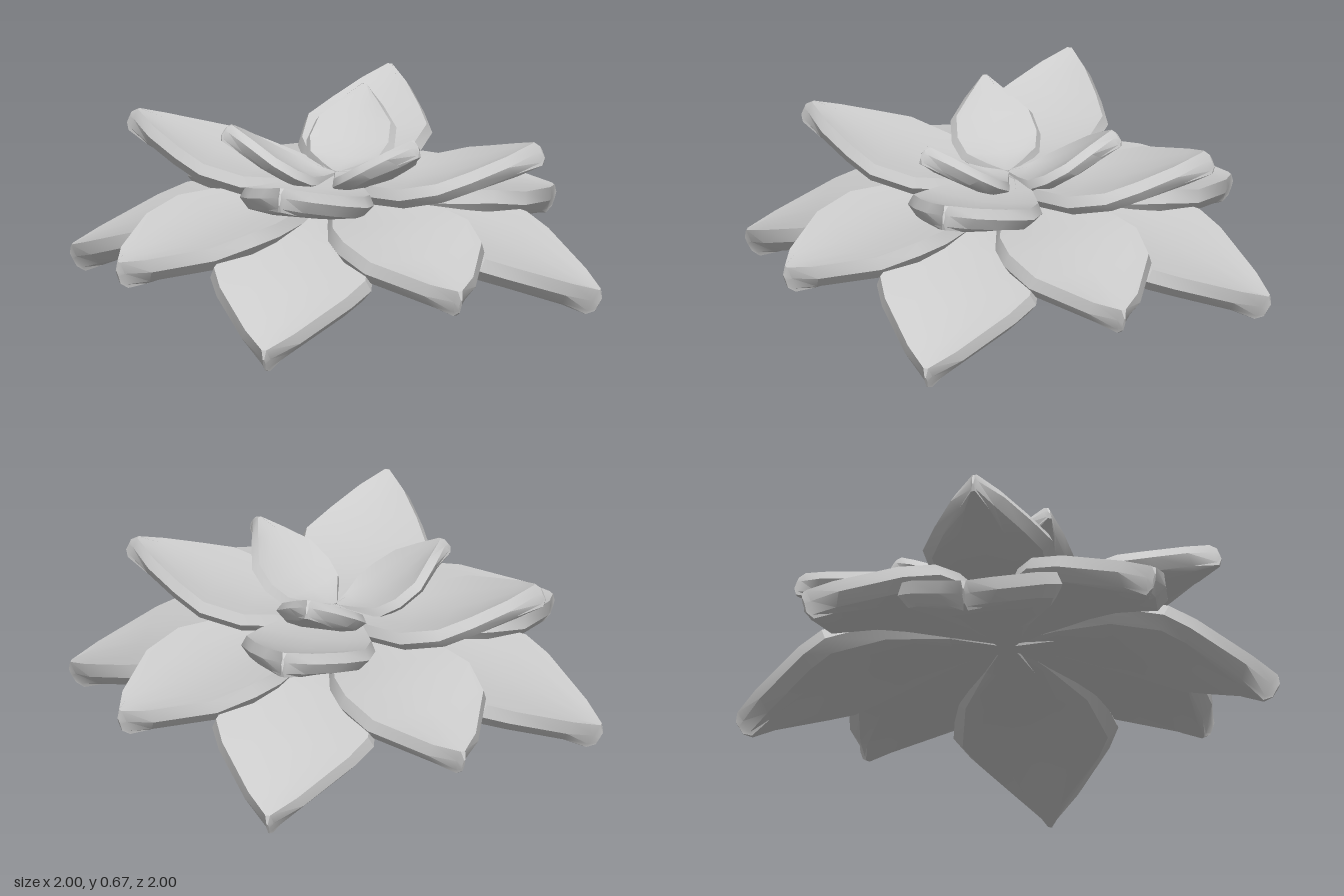
import * as THREE from 'three';
import { toCreasedNormals } from 'three/addons/utils/BufferGeometryUtils.js';

// Half of the petal cross-section, top centre to bottom centre:
// [width factor, thickness factor, cup depth, inset of the bevel]
const HALF = [[0, 0.5, 0.24, 0], [0.5, 0.5, 0.16, 0], [1, 0.5, 0, 0.018], [1, 0.08, 0, 0],
  [1, -0.36, 0, 0.036], [0.45, -0.5, 0, 0], [0, -0.5, 0, 0]];
const SECTION = [...HALF.map(p => [1, ...p]), ...HALF.slice(1, -1).reverse().map(p => [-1, ...p])];

// Lofts a thick cupped petal along +z; each station is [radius, height, half width, thickness scale]
function petalGeometry(stations, thickness) {
  const n = SECTION.length, last = stations.length - 1;
  const widest = Math.max(...stations.map(s => s[2]));
  const positions = [], index = [];
  stations.forEach(([r, y, w, scale = 1], i) => {
    const a = stations[Math.max(i - 1, 0)], b = stations[Math.min(i + 1, last)];
    const dr = b[0] - a[0], dy = b[1] - a[1], len = Math.hypot(dr, dy);
    for (const [side, u, v, cup, inset] of SECTION) {
      const h = (v - cup * w / widest) * thickness * scale;
      const x = side * (u * w - Math.min(inset, w * 0.5));
      positions.push(x, y + h * dr / len, r - h * dy / len);
    }
  });
  for (let i = 0; i < last; i++) {
    for (let j = 0; j < n; j++) {
      const k = (j + 1) % n;
      const a = i * n + j, b = i * n + k, c = a + n, d = b + n;
      index.push(a, c, b, b, c, d);
    }
  }
  // close the root and the tip
  for (let j = 1; j < n - 1; j++) {
    index.push(0, j, j + 1);
    index.push(last * n, last * n + j + 1, last * n + j);
  }
  const g = new THREE.BufferGeometry();
  g.setAttribute('position', new THREE.Float32BufferAttribute(positions, 3));
  g.setIndex(index);
  return toCreasedNormals(g, 0.6);
}

// Whorls of petals from the lowest to the innermost
const WHORLS = [
  { name: 'outerPetal', count: 4, start: 0, thickness: 0.11, stations: [
    [0, 0.335, 0.05], [0.2, 0.325, 0.15], [0.42, 0.288, 0.26], [0.62, 0.225, 0.303],
    [0.71, 0.187, 0.255], [0.89, 0.095, 0.11], [0.967, 0.052, 0.018], [0.987, 0.041, 0.005, 0.5]] },
  { name: 'diagonalPetal', count: 4, start: Math.PI / 4, thickness: 0.11, stations: [
    [0, 0.34, 0.04], [0.2, 0.345, 0.15], [0.38, 0.34, 0.25], [0.5, 0.33, 0.278],
    [0.645, 0.292, 0.25], [0.83, 0.238, 0.108], [0.89, 0.217, 0.018], [0.91, 0.21, 0.005, 0.5]] },
  { name: 'upperPetal', count: 4, start: 0, thickness: 0.09, stations: [
    [0, 0.415, 0.04], [0.16, 0.425, 0.16], [0.3, 0.442, 0.225], [0.45, 0.482, 0.24],
    [0.56, 0.518, 0.18], [0.68, 0.563, 0.1], [0.76, 0.598, 0.016], [0.777, 0.605, 0.005, 0.5]] },
  { name: 'heartPetal', count: 3, start: Math.PI, thickness: 0.07, stations: [
    [0.01, 0.43, 0.02], [0.07, 0.44, 0.085], [0.13, 0.462, 0.145], [0.2, 0.5, 0.165], [0.28, 0.552, 0.152],
    [0.35, 0.605, 0.085], [0.41, 0.647, 0.016], [0.42, 0.654, 0.005, 0.5]] },
];

export function createModel() {
  const model = new THREE.Group();
  model.name = 'flower';
  const grey = new THREE.MeshStandardMaterial({ color: 0xcccccc });
  grey.name = 'petal grey';
  for (const { name, count, start, thickness, stations } of WHORLS) {
    const whorl = new THREE.Group();
    whorl.name = name + 's';
    const geometry = petalGeometry(stations, thickness);
    for (let i = 0; i < count; i++) {
      const petal = new THREE.Mesh(geometry, grey);
      petal.name = name;
      petal.rotation.y = start + i * Math.PI * 2 / count;
      whorl.add(petal);
    }
    model.add(whorl);
  }
  return model;
}
